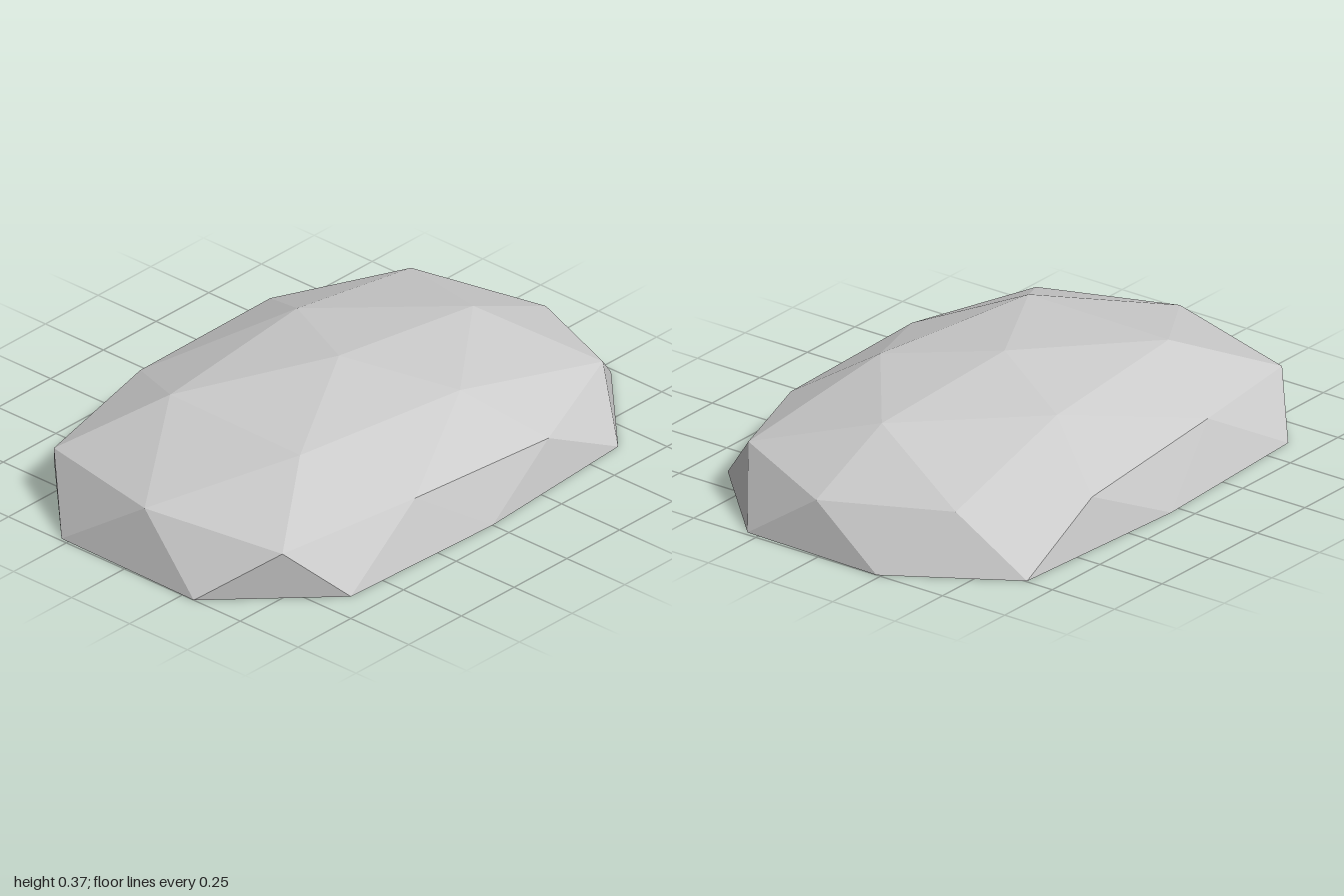
import * as THREE from 'three';

// Each sector holds [x, z] for: shoulder, corner, brow (towards the next sector), and two ground points
const sectors = [
  { shoulder: [0.29, 0.485], corner: [0.505, 0.805], brow: [0.61, 0.29], ground: [[0.3, 1.0], [0.655, 0.645]] },
  { shoulder: [0.385, -0.17], corner: [0.63, -0.32], brow: [0.46, -0.765], ground: [[0.68, 0.0], [0.635, -0.645]] },
  { shoulder: [0.05, -0.6], corner: [0.05, -0.945], brow: [-0.4, -0.8], ground: [[0.295, -0.985], [-0.235, -1.0]] },
  { shoulder: [-0.355, -0.21], corner: [-0.635, -0.39], brow: [-0.595, 0.27], ground: [[-0.645, -0.745], [-0.685, -0.04]] },
  { shoulder: [-0.28, 0.475], corner: [-0.495, 0.79], brow: [0.015, 0.92], ground: [[-0.65, 0.62], [-0.28, 0.99]] },
];
const heights = { apex: 0.365, shoulder: 0.312, brow: 0.195, corner: 0.166, ground: 0 };

function facetedMesh(name, triangles) {
  const geometry = new THREE.BufferGeometry();
  geometry.setAttribute('position', new THREE.Float32BufferAttribute(triangles.flat(2), 3));
  geometry.computeVertexNormals();
  const mesh = new THREE.Mesh(geometry, new THREE.MeshStandardMaterial({ color: 0xcccccc, flatShading: true }));
  mesh.name = name;
  return mesh;
}

export function createModel() {
  const at = ([x, z], y) => [x, y, z];
  const apex = [0.012, heights.apex, -0.005];
  const ring = sectors.map((s) => ({
    shoulder: at(s.shoulder, heights.shoulder),
    corner: at(s.corner, heights.corner),
    brow: at(s.brow, heights.brow),
    ground: s.ground.map((p) => at(p, heights.ground)),
  }));

  // Five repeating wedges of a faceted dome, joined counterclockwise
  const dome = [];
  ring.forEach((a, i) => {
    const b = ring[(i + 1) % ring.length];
    dome.push(
      [apex, a.shoulder, b.shoulder],
      [a.shoulder, a.corner, a.brow],
      [a.shoulder, a.brow, b.shoulder],
      [b.shoulder, a.brow, b.corner],
      [a.corner, a.ground[0], a.ground[1]],
      [a.corner, a.ground[1], a.brow],
      [a.brow, a.ground[1], b.ground[0]],
      [a.brow, b.ground[0], b.corner],
    );
  });

  // Flat underside facing down
  const rim = ring.flatMap((s) => s.ground);
  const base = rim.map((p, i) => [[0, 0, 0], rim[(i + 1) % rim.length], p]);

  const rock = new THREE.Group();
  rock.name = 'rock';
  rock.add(facetedMesh('rockDome', dome), facetedMesh('rockBase', base));
  return rock;
}
